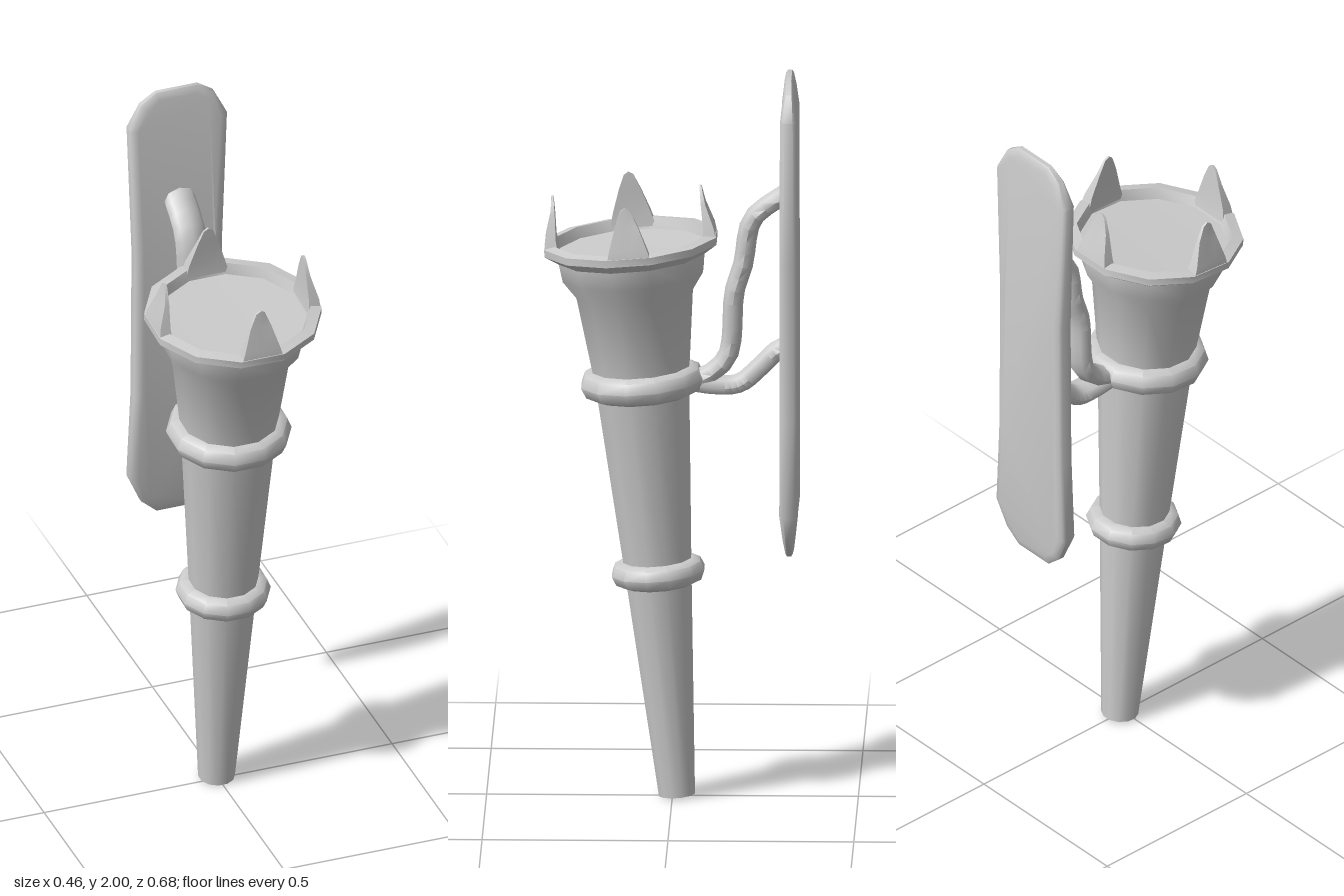
import * as THREE from 'three';
import { toCreasedNormals } from 'three/addons/utils/BufferGeometryUtils.js';

const SIDES = 12;
const material = new THREE.MeshStandardMaterial({ color: 0xcccccc });

function addPart(parent, name, geometry, crease = 0.8) {
  const mesh = new THREE.Mesh(toCreasedNormals(geometry, crease), material);
  mesh.name = name;
  parent.add(mesh);
  return mesh;
}

// Tapered twelve-sided body with a flared cup and a shallow recess at the top
function bodyGeometry() {
  const profile = [
    [0, 0], [0.05, 0], [0.092, 0.62], [0.13, 1.15], [0.162, 1.4],
    [0.196, 1.45], [0.203, 1.5], [0.24, 1.525], [0.24, 1.545],
    [0.21, 1.55], [0.2, 1.52], [0, 1.515],
  ].map(([r, y]) => new THREE.Vector2(r, y));
  return new THREE.LatheGeometry(profile, SIDES, Math.PI / SIDES);
}

function bandGeometry(radius, tube) {
  return new THREE.TorusGeometry(radius, tube, 8, SIDES)
    .rotateZ(Math.PI / SIDES).rotateX(Math.PI / 2);
}

// Pointed prong: rows of height, half width, inner and outer distance from the axis
function prongGeometry() {
  const rows = [
    [1.525, 0.062, 0.195, 0.232], [1.565, 0.051, 0.199, 0.228],
    [1.63, 0.03, 0.197, 0.209], [1.672, 0.013, 0.197, 0.203],
  ];
  const geometry = new THREE.BoxGeometry(1, 1, 1, 2, 3, 1);
  const p = geometry.attributes.position;
  for (let i = 0; i < p.count; i++) {
    const [y, half, inner, outer] = rows[Math.round((p.getY(i) + 0.5) * 3)];
    const peak = p.getX(i) === 0 && y > 1.67 ? 0.008 : 0;
    p.setXYZ(i, p.getX(i) * 2 * half, y + peak, p.getZ(i) > 0 ? outer : inner);
  }
  return geometry;
}

// Long rounded plate, thinned toward both ends
function plateGeometry() {
  const bevel = 0.022;
  const right = [
    [0.06, 0.68], [0.105, 0.72], [0.14, 0.8], [0.128, 1.06],
    [0.125, 1.5], [0.14, 1.9], [0.105, 1.97], [0.06, 2],
  ];
  const left = right.map(([x, y]) => [-x, y]).reverse();
  const shape = new THREE.Shape([...right, ...left].map(([x, y]) => new THREE.Vector2(x, y)));
  const geometry = new THREE.ExtrudeGeometry(shape, {
    depth: 0.026, bevelThickness: 0.012, bevelSize: bevel, bevelOffset: -bevel, bevelSegments: 2,
  }).translate(0, 0, -0.013);
  const p = geometry.attributes.position;
  for (let i = 0; i < p.count; i++) {
    const end = Math.max(0, Math.abs(p.getY(i) - 1.34) - 0.54) / 0.12;
    p.setZ(i, p.getZ(i) * (1 - 0.55 * Math.min(1, end)));
  }
  return geometry;
}

// Bent strap, wider than it is thick, following points given as z, y
function strapGeometry(points) {
  const curve = new THREE.CatmullRomCurve3(
    points.map(([z, y]) => new THREE.Vector3(0, y, z)), false, 'centripetal');
  return new THREE.TubeGeometry(curve, 18, 0.027, 8, false).scale(1.65, 1, 1);
}

export function createModel() {
  const model = new THREE.Group();
  model.name = 'wallTorch';

  // Torch leans forward from the wall
  const torch = new THREE.Group();
  torch.name = 'torch';
  torch.position.set(0, 0.004, -0.012);
  torch.rotation.x = 0.081;
  model.add(torch);

  addPart(torch, 'body', bodyGeometry());
  addPart(torch, 'lowerBand', bandGeometry(0.094, 0.035)).position.y = 0.62;
  addPart(torch, 'upperBand', bandGeometry(0.13, 0.04)).position.y = 1.15;
  for (let i = 0; i < 4; i++) {
    addPart(torch, 'prong' + (i + 1), prongGeometry()).rotation.y = i * Math.PI / 2;
  }

  // Wall mount
  addPart(model, 'backPlate', plateGeometry()).position.z = -0.315;
  addPart(model, 'upperStrap', strapGeometry([
    [-0.31, 1.675], [-0.28, 1.655], [-0.215, 1.6], [-0.19, 1.475],
    [-0.167, 1.4], [-0.148, 1.22], [-0.09, 1.165], [-0.04, 1.15],
  ]), 1.2);
  addPart(model, 'lowerStrap', strapGeometry([
    [-0.31, 1.25], [-0.28, 1.235], [-0.235, 1.19], [-0.18, 1.145],
    [-0.115, 1.14], [-0.04, 1.15],
  ]), 1.2);

  return model;
}
